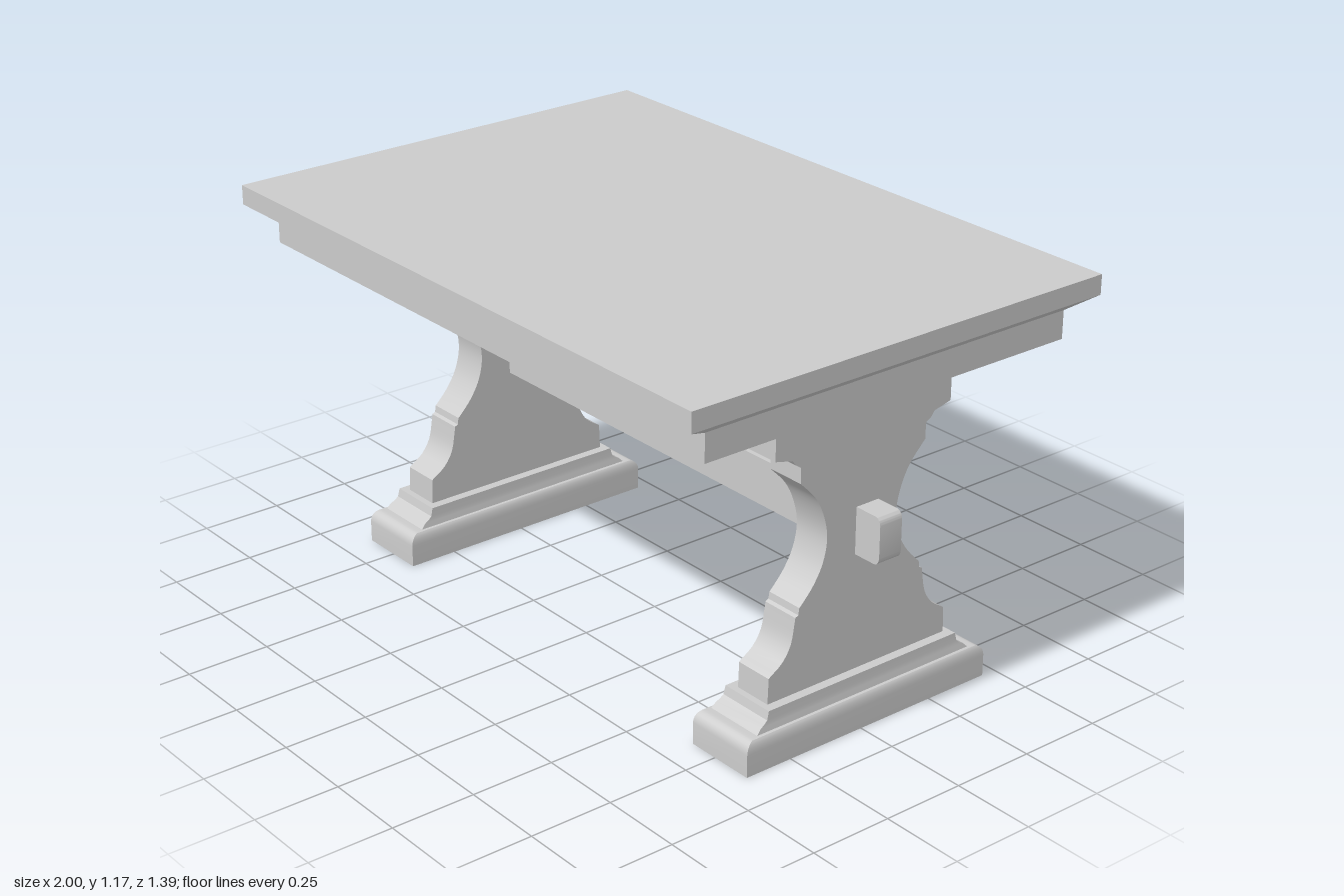
import * as THREE from 'three';
import { toCreasedNormals } from 'three/addons/utils/BufferGeometryUtils.js';

const material = new THREE.MeshStandardMaterial({ color: 0xcccccc });

function addMesh(parent, name, geometry, x = 0, y = 0, z = 0) {
  const mesh = new THREE.Mesh(toCreasedNormals(geometry, 0.45), material);
  mesh.name = name;
  mesh.position.set(x, y, z);
  parent.add(mesh);
}

// Stack of rectangular sections [y, halfX, halfZ], listed bottom to top, closed at both ends
function rectLoft(sections) {
  const pos = [];
  const ring = ([y, hx, hz]) => [[-hx, y, hz], [hx, y, hz], [hx, y, -hz], [-hx, y, -hz]];
  const quad = (a, b, c, d) => pos.push(...a, ...b, ...c, ...a, ...c, ...d);
  const rings = sections.map(ring);
  for (let i = 0; i < rings.length - 1; i++) {
    const lo = rings[i], hi = rings[i + 1];
    for (let k = 0; k < 4; k++) {
      const n = (k + 1) % 4;
      quad(lo[k], lo[n], hi[n], hi[k]);
    }
  }
  const [b0, b1, b2, b3] = rings[0];
  quad(b3, b2, b1, b0);
  quad(...rings[rings.length - 1]);
  const geometry = new THREE.BufferGeometry();
  geometry.setAttribute('position', new THREE.Float32BufferAttribute(pos, 3));
  geometry.computeVertexNormals();
  return geometry;
}

function extrudeCentred(shape, depth) {
  const geometry = new THREE.ExtrudeGeometry(shape, { depth, bevelEnabled: false });
  return geometry.translate(0, 0, -depth / 2);
}

const v = (x, y) => new THREE.Vector2(x, y);
const smooth = (points, n) => new THREE.SplineCurve(points).getPoints(n);

// Scrolled pedestal board: half outline from bottom to top, then mirrored
function pedestalGeometry() {
  const half = [
    v(0.317, 0.15), v(0.314, 0.23),
    ...smooth([v(0.308, 0.235), v(0.268, 0.262), v(0.24, 0.305), v(0.229, 0.36), v(0.226, 0.38)], 12),
    v(0.216, 0.385), v(0.213, 0.405),
    ...smooth([v(0.205, 0.412), v(0.166, 0.455), v(0.135, 0.51), v(0.122, 0.575),
      v(0.133, 0.64), v(0.164, 0.705), v(0.218, 0.763)], 30),
    v(0.218, 0.808),
    ...smooth([v(0.22, 0.812), v(0.235, 0.82), v(0.247, 0.836)], 4),
    v(0.305, 0.85), v(0.305, 0.995),
  ];
  const mirrored = half.map((p) => v(-p.x, p.y)).reverse();
  return extrudeCentred(new THREE.Shape([...half, ...mirrored]), 0.118).rotateY(-Math.PI / 2);
}

// Rounded plinth with a stepped moulding above
function footGeometry() {
  const sections = [[0, 0.11, 0.428]];
  for (let i = 0; i <= 6; i++) {
    const a = (i / 6) * Math.PI / 2;
    sections.push([0.065 + 0.035 * Math.sin(a), 0.098 + 0.012 * Math.cos(a), 0.396 + 0.032 * Math.cos(a)]);
  }
  sections.push([0.1, 0.093, 0.38], [0.115, 0.09, 0.365], [0.12, 0.089, 0.354],
    [0.13, 0.088, 0.342], [0.155, 0.087, 0.336]);
  return rectLoft(sections);
}

export function createModel() {
  const table = new THREE.Group();
  table.name = 'trestleTable';

  // Top slab with a sloped underside and an apron block
  addMesh(table, 'tableTop', rectLoft([
    [0.99, 0.95, 0.612], [1.072, 0.95, 0.612], [1.11, 1, 0.695], [1.168, 1, 0.695],
  ]));

  // Two matching trestles
  for (const [name, x] of [['rightTrestle', -0.757], ['leftTrestle', 0.769]]) {
    const trestle = new THREE.Group();
    trestle.name = name;
    trestle.position.set(x, 0, -0.027);
    addMesh(trestle, 'pedestal', pedestalGeometry());
    addMesh(trestle, 'foot', footGeometry());
    table.add(trestle);
  }

  // Stretcher passing through both pedestals, with eased end corners
  const L = 0.912, H = 0.069, c = 0.022;
  const bar = new THREE.Shape();
  bar.moveTo(-L + c, -H);
  bar.lineTo(L - c, -H);
  bar.quadraticCurveTo(L - 0.003, -H, L, -H + c);
  bar.lineTo(L, H - c);
  bar.quadraticCurveTo(L - 0.003, H, L - c, H);
  bar.lineTo(-L + c, H);
  bar.quadraticCurveTo(-L + 0.003, H, -L, H - c);
  bar.lineTo(-L, -H + c);
  bar.quadraticCurveTo(-L + 0.003, -H, -L + c, -H);
  addMesh(table, 'stretcher', extrudeCentred(bar, 0.077), 0.007, 0.569, -0.044);

  return table;
}
